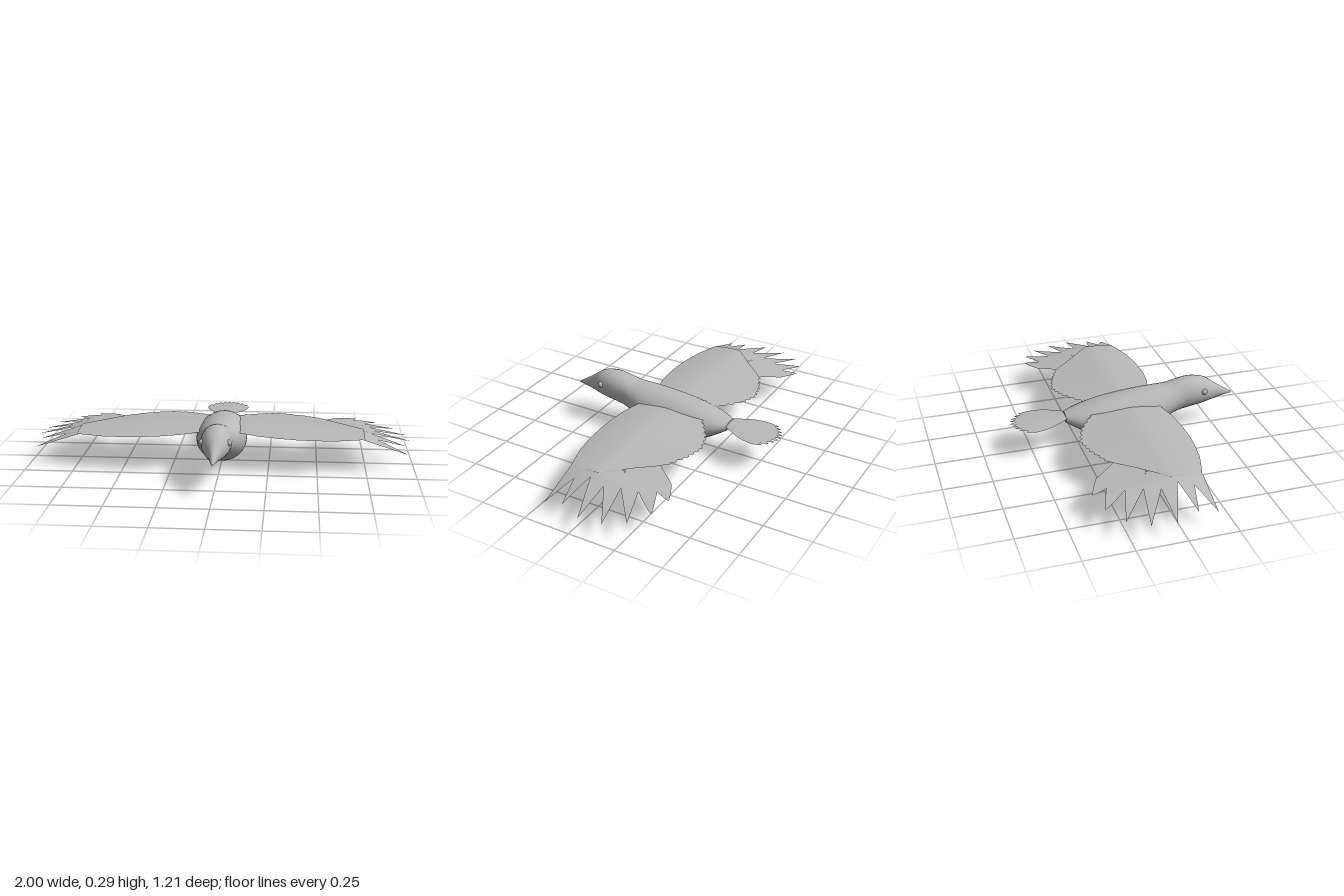
import * as THREE from 'three';

// Grid surface: u runs along rows, v across; wrap joins the last v to the first
function surface(nu, nv, point, wrap = false, flip = false) {
  const pos = [], idx = [];
  const cols = wrap ? nv : nv + 1;
  for (let i = 0; i <= nu; i++)
    for (let j = 0; j < cols; j++) pos.push(...point(i / nu, j / nv));
  for (let i = 0; i < nu; i++)
    for (let j = 0; j < nv; j++) {
      const k = (j + 1) % cols;
      const a = i * cols + j, b = (i + 1) * cols + j, c = (i + 1) * cols + k, d = i * cols + k;
      if (flip) idx.push(a, c, b, a, d, c);
      else idx.push(a, b, c, a, c, d);
    }
  const g = new THREE.BufferGeometry();
  g.setAttribute('position', new THREE.Float32BufferAttribute(pos, 3));
  g.setIndex(idx);
  g.computeVertexNormals();
  return g;
}

// Piecewise linear lookup
function lookup(table, x) {
  for (let i = 1; i < table.length; i++) {
    const [x0, y0] = table[i - 1], [x1, y1] = table[i];
    if (x <= x1) return y0 + (y1 - y0) * (x - x0) / (x1 - x0);
  }
  return table[table.length - 1][1];
}

// Cambered, drooping height shared by the wing and its feathers
function wingHeight(x, z) {
  const camber = z > 0 ? 0.5 * z * z : 0.1 * -z;
  const droop = 0.028 * Math.min(1, x / 0.74) ** 2 + Math.max(0, x - 0.74) * (0.28 + 0.3 * z);
  return 0.215 - camber - droop;
}

const LEADING = [[0.05, 0.16], [0.12, 0.175], [0.2, 0.2], [0.3, 0.214], [0.4, 0.219],
  [0.5, 0.214], [0.6, 0.2], [0.68, 0.177], [0.74, 0.157]];
const TRAILING = [[0.05, -0.2], [0.1, -0.205], [0.15, -0.24], [0.2, -0.275], [0.3, -0.305],
  [0.4, -0.28], [0.5, -0.235], [0.53, -0.22], [0.62, -0.12], [0.74, 0]];

// Base x, base z, tip x, tip z, half width, position of the widest point
const FEATHERS = [
  [0.71, 0.113, 0.96, 0.157, 0.042, 0.15],
  [0.71, 0.065, 0.955, 0.062, 0.045, 0.15],
  [0.7, -0.01, 1.0, -0.055, 0.045, 0.2],
  [0.66, -0.06, 0.985, -0.175, 0.045, 0.3],
  [0.61, -0.11, 0.93, -0.275, 0.045, 0.4],
  [0.57, -0.15, 0.83, -0.342, 0.045, 0.55],
  [0.53, -0.17, 0.72, -0.37, 0.048, 0.6],
];

export function createModel() {
  const model = new THREE.Group();
  model.name = 'flyingBird';
  const grey = new THREE.MeshStandardMaterial({ color: 0xb8b8b8, side: THREE.DoubleSide });
  grey.name = 'plain grey';
  const add = (name, geometry, parent = model) => {
    const mesh = new THREE.Mesh(geometry, grey);
    mesh.name = name;
    parent.add(mesh);
    return mesh;
  };

  // Body, head and beak: z, bottom, top, half width
  const sections = [
    [0.608, 0.162, 0.172, 0.004], [0.56, 0.156, 0.203, 0.018], [0.51, 0.148, 0.238, 0.034],
    [0.46, 0.14, 0.274, 0.06], [0.41, 0.132, 0.29, 0.073], [0.36, 0.125, 0.294, 0.078],
    [0.3, 0.115, 0.284, 0.08], [0.24, 0.097, 0.269, 0.093], [0.17, 0.062, 0.264, 0.113],
    [0.08, 0.022, 0.259, 0.128], [0, 0.002, 0.253, 0.132], [-0.09, 0.012, 0.242, 0.128],
    [-0.18, 0.053, 0.225, 0.112], [-0.26, 0.1, 0.205, 0.08], [-0.318, 0.138, 0.188, 0.042],
  ];
  const tops = new THREE.CatmullRomCurve3(
    sections.map(([z, , t, w]) => new THREE.Vector3(w, t, z)), false, 'catmullrom');
  const bottoms = new THREE.CatmullRomCurve3(
    sections.map(([z, b]) => new THREE.Vector3(0, b, z)), false, 'catmullrom');
  add('body', surface(56, 24, (u, v) => {
    const a = v * Math.PI * 2, t = tops.getPoint(u), b = bottoms.getPoint(u);
    return [t.x * Math.cos(a), (t.y + b.y) / 2 + (t.y - b.y) / 2 * Math.sin(a), t.z];
  }, true));

  // Closing disc at the rear of the body
  const rump = add('rump', new THREE.CircleGeometry(1, 24));
  rump.scale.set(0.042, 0.025, 1);
  rump.rotation.y = Math.PI;
  rump.position.set(0, 0.163, -0.318);

  // Tail fan with a toothed end
  add('tail', surface(72, 8, (u, v) => {
    const s = u * 2 - 1;
    const half = 0.035 + 0.08 * Math.sin(Math.min(1, v * 1.1) * Math.PI / 2);
    const teeth = 0.03 * Math.abs(((u * 9) % 1) * 2 - 1);
    const end = -0.605 + 0.075 * s * s + teeth;
    return [s * half, 0.178 - 0.012 * v - 0.004 * s * s, -0.3 + (end + 0.3) * v];
  }));

  for (const side of [1, -1]) {
    const label = side > 0 ? 'left' : 'right';
    const wing = new THREE.Group();
    wing.name = label + 'Wing';
    model.add(wing);

    // Main wing sheet with a scalloped trailing edge
    add(label + 'WingSheet', surface(120, 12, (u, v) => {
      const x = 0.05 + 0.69 * u;
      const scallop = x > 0.1 && x < 0.52 ? 0.014 * Math.abs(Math.sin((x - 0.1) / 0.035 * Math.PI)) : 0;
      const front = lookup(LEADING, x), back = lookup(TRAILING, x) - scallop;
      const z = front + (back - front) * v;
      return [side * x, wingHeight(x, z), z];
    }, false, side < 0), wing);

    // Fanned flight feathers at the wing tip
    FEATHERS.forEach(([bx, bz, tx, tz, width, widest], i) => {
      const dx = tx - bx, dz = tz - bz, len = Math.hypot(dx, dz);
      add(label + 'Feather' + (i + 1), surface(20, 2, (u, v) => {
        const half = u < widest
          ? width * (0.7 + 0.3 * u / widest)
          : width * Math.pow((1 - u) / (1 - widest), widest > 0.5 ? 0.8 : 1);
        const o = (1 - v * 2) * half;
        const x = bx + dx * u - dz / len * o, z = bz + dz * u + dx / len * o;
        return [side * x, wingHeight(x, z) - 0.003 - 0.001 * i, z];
      }, false, side < 0), wing);
    });

    // Eye
    const eye = add(label + 'Eye', new THREE.SphereGeometry(0.016, 16, 12));
    eye.position.set(side * 0.066, 0.225, 0.43);
  }
  return model;
}
